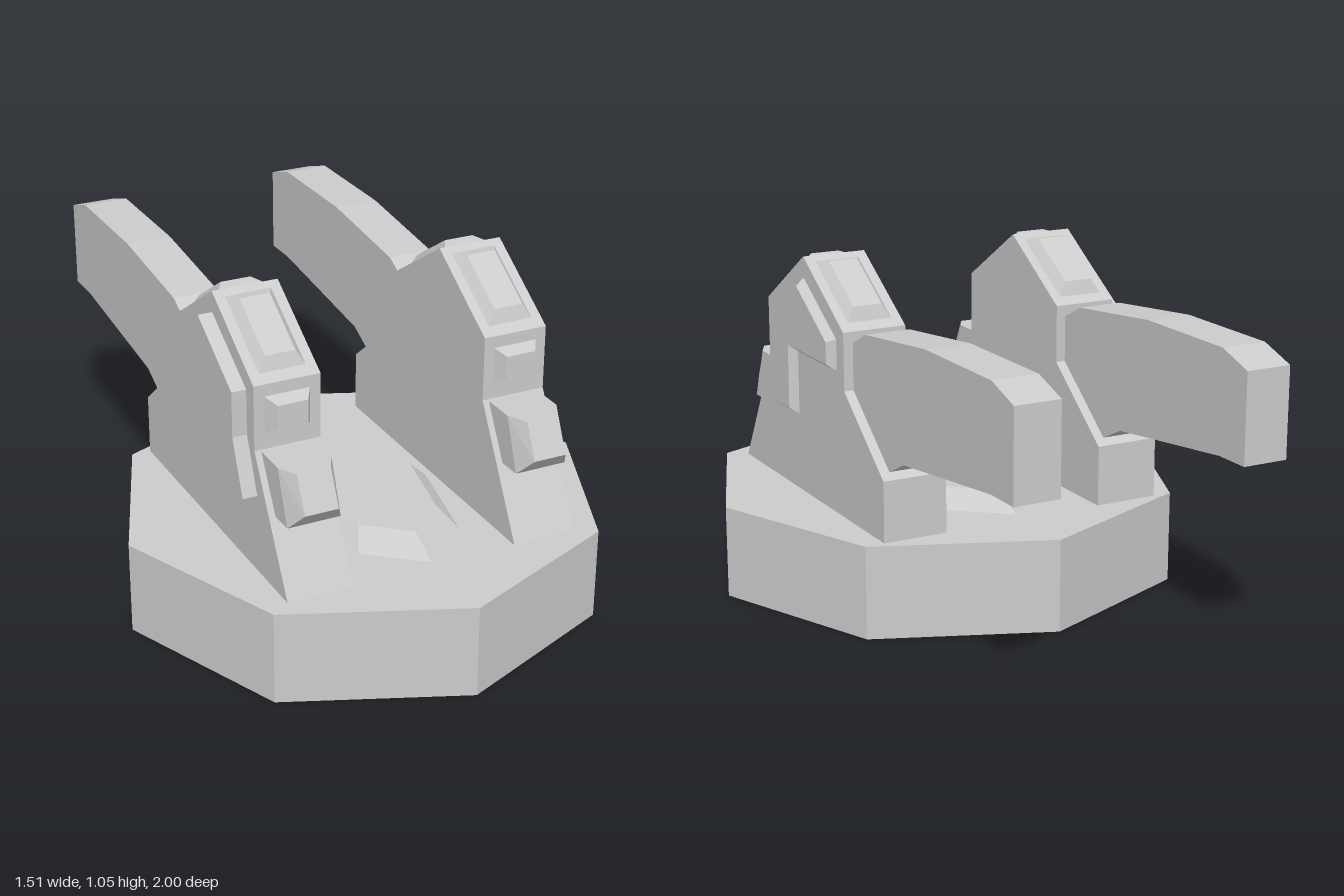
import * as THREE from 'three';

const material = new THREE.MeshStandardMaterial({
  color: 0xcccccc, flatShading: true, side: THREE.DoubleSide,
});

function mesh(name, geometry) {
  const m = new THREE.Mesh(geometry, material);
  m.name = name;
  return m;
}

// Stitches equal-length rings together and closes the last one
function loft(rings) {
  const out = [];
  const n = rings[0].length;
  for (let i = 0; i < rings.length - 1; i++) {
    for (let j = 0; j < n; j++) {
      const k = (j + 1) % n;
      const [a, b, c, d] = [rings[i][j], rings[i][k], rings[i + 1][k], rings[i + 1][j]];
      out.push(...a, ...b, ...c, ...a, ...c, ...d);
    }
  }
  const end = rings[rings.length - 1];
  for (let j = 1; j < n - 1; j++) out.push(...end[0], ...end[j], ...end[j + 1]);
  const g = new THREE.BufferGeometry();
  g.setAttribute('position', new THREE.Float32BufferAttribute(out, 3));
  g.computeVertexNormals();
  return g;
}

// Horizontal eight-sided ring from its front-to-back half outline of [x, z]
function octagon(half, y) {
  const mirrored = half.slice(1, -1).reverse().map(([x, z]) => [-x, z]);
  return [...half, ...mirrored].map(([x, z]) => [x, y, z]);
}

// Rectangle across z, half width w, from [y, z] below to [y, z] above
const rect = (w, [y0, z0], [y1, z1]) =>
  [[-w, y0, z0], [w, y0, z0], [w, y1, z1], [-w, y1, z1]];

// Side profile of [z, y] points extruded across x, with its +x face at xMax
function slab(profile, xMax, depth, bevel = {}) {
  const shape = new THREE.Shape(profile.map(([z, y]) => new THREE.Vector2(z, y)));
  const g = new THREE.ExtrudeGeometry(shape, { depth, bevelEnabled: false, ...bevel });
  return g.rotateY(-Math.PI / 2).translate(xMax, 0, 0);
}

// Drops the faces lying in the plane of the given height
function openBottom(geometry, y) {
  const g = geometry.index ? geometry.toNonIndexed() : geometry;
  const p = g.attributes.position;
  const kept = [];
  for (let i = 0; i < p.count; i += 3) {
    if ([0, 1, 2].every((k) => Math.abs(p.getY(i + k) - y) < 1e-4)) continue;
    for (let k = 0; k < 3; k++) kept.push(p.getX(i + k), p.getY(i + k), p.getZ(i + k));
  }
  const out = new THREE.BufferGeometry();
  out.setAttribute('position', new THREE.Float32BufferAttribute(kept, 3));
  out.computeVertexNormals();
  return out;
}

const TOWER = [
  [0.775, 0.23], [0.53, 0.67], [0.53, 0.87], [0.25, 1.05],
  [-0.03, 0.87], [-0.03, 0.69], [-0.29, 0.48], [-0.29, 0.23],
];
const BARREL = [
  [0.05, 0.80], [-0.03, 0.835], [-0.12, 0.88], [-0.5, 0.92], [-0.88, 0.92], [-1, 0.88],
  [-1, 0.605], [-0.88, 0.605], [-0.36, 0.545], [-0.27, 0.5], [0.05, 0.5],
];
const PANEL = [
  [0.545, 0.535], [0.48, 0.7], [0.48, 0.84], [0.25, 0.985],
  [0.02, 0.84], [0.02, 0.74], [0.305, 0.74], [0.305, 0.535],
];

function createTower(side) {
  const tower = new THREE.Group();
  tower.name = side > 0 ? 'leftTower' : 'rightTower';

  // Support body, hollow underneath
  tower.add(mesh('towerBody', openBottom(slab(TOWER, 0.103, 0.206), 0.23)));
  tower.add(mesh('barrel', slab(BARREL, 0.072, 0.144)));

  // Raised pads on both slopes of the roof
  const pad = loft([
    rect(0.072, [-0.135, 0], [0.135, 0]),
    rect(0.047, [-0.1, 0.03], [0.1, 0.03]),
  ]);
  for (const [name, z, tilt] of [['frontRoofPad', 0.385, 1], ['rearRoofPad', 0.115, Math.PI - 1]]) {
    const m = mesh(name, pad);
    m.position.set(0, 0.963, z);
    m.rotation.x = -tilt;
    tower.add(m);
  }

  // Small pad on the upright front
  tower.add(mesh('frontPad', loft([
    rect(0.07, [0.722, 0.53], [0.833, 0.53]),
    rect(0.047, [0.742, 0.567], [0.815, 0.567]),
  ])));

  // Bevelled nose block on the front slope
  tower.add(mesh('noseBlock', loft([
    rect(0.083, [0.5, 0.5], [0.665, 0.5]),
    rect(0.083, [0.503, 0.7], [0.665, 0.64]),
    rect(0.052, [0.558, 0.75], [0.665, 0.7]),
  ])));

  // Outer side panel: chamfered on one tower, square-edged on the other
  tower.add(mesh('sidePanel', side > 0
    ? slab(PANEL, 0.102, 0.02, {
      bevelEnabled: true, bevelSegments: 1, bevelThickness: 0.027,
      bevelSize: 0.02, bevelOffset: -0.02,
    })
    : slab(PANEL, -0.09, 0.058)));

  tower.position.x = side * 0.368;
  return tower;
}

export function createModel() {
  const model = new THREE.Group();
  model.name = 'twinTurret';

  // Eight-sided base, open below
  const rim = [[0, 1], [0.532, 0.78], [0.753, 0.245], [0.532, -0.29], [0, -0.51]];
  model.add(mesh('base', loft([octagon(rim, 0), octagon(rim, 0.29)])));

  // Low bevelled hatch between the towers
  const skirt = [[0, 0.8], [0.2, 0.64], [0.285, 0.24], [0.2, -0.16], [0, -0.32]];
  const lid = [[0, 0.62], [0.13, 0.51], [0.187, 0.24], [0.13, -0.03], [0, -0.14]];
  model.add(mesh('hatch', loft([octagon(skirt, 0.25), octagon(lid, 0.34)])));

  for (const side of [1, -1]) model.add(createTower(side));
  return model;
}
